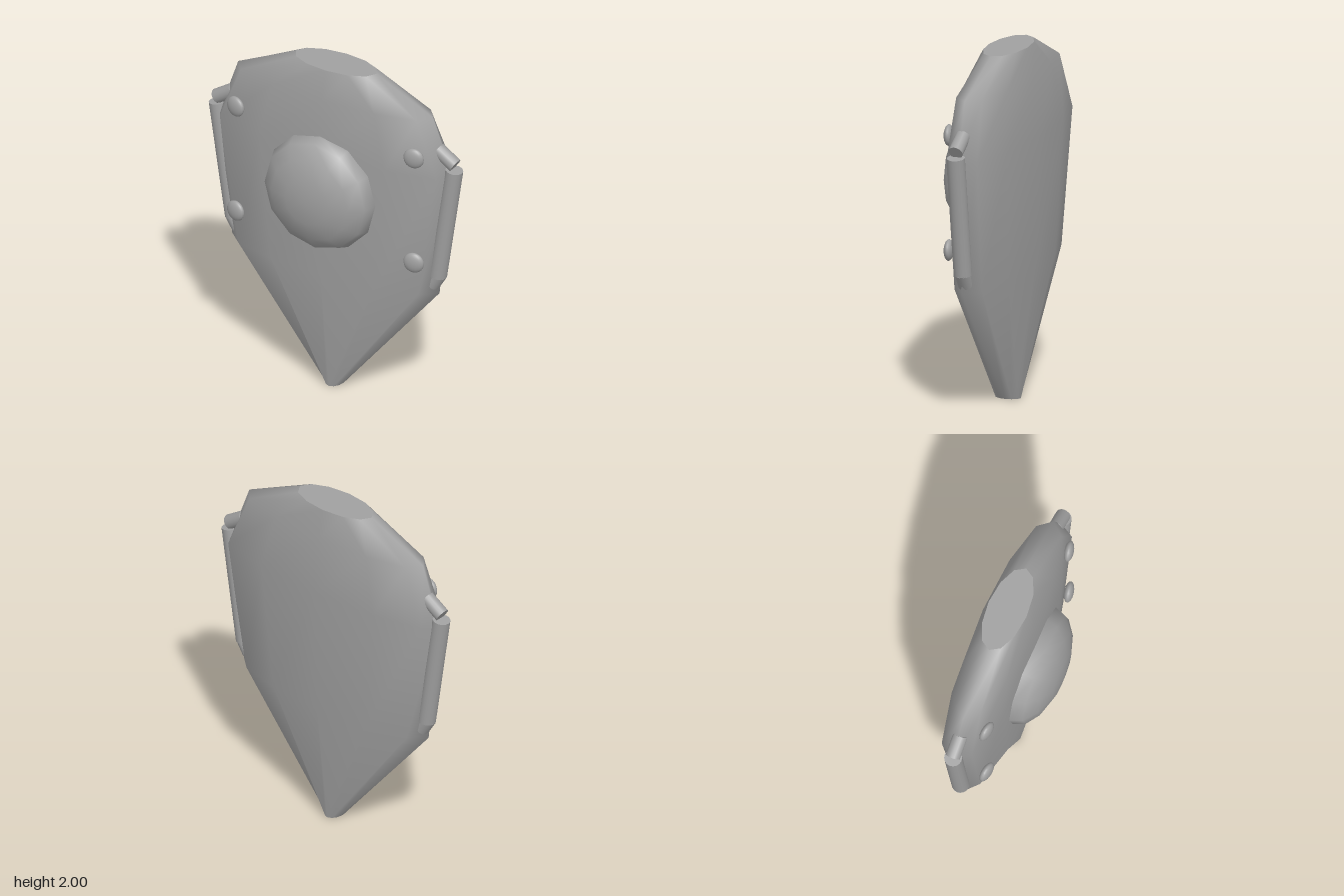
import * as THREE from 'three';

const SIDES = 12;
const MID_Z = -0.075;

// Rings: height, half width, front z, back z, widening of the side corners
const RINGS = [
  [0, 0.05, 0.0, -0.15, 1],
  [0.74, 0.67, 0.09, -0.237, 1],
  [1.5, 0.75, 0.1, -0.263, 1.075],
  [1.83, 0.63, 0.08, -0.225, 1.04],
  [2, 0.26, 0.037, -0.19, 1],
];

function ringPoint([y, w, front, back, widen], i) {
  const a = (i / SIDES) * Math.PI * 2;
  const s = Math.sin(a);
  const x = w * s * (Math.abs(s) > 0.99 ? 1 : widen);
  return [x, y, (front + back) / 2 + ((front - back) / 2) * Math.cos(a)];
}

function meshGeometry(positions, index) {
  const g = new THREE.BufferGeometry();
  g.setAttribute('position', new THREE.Float32BufferAttribute(positions, 3));
  g.setIndex(index);
  g.computeVertexNormals();
  return g;
}

// Smooth wall lofted through the rings
function wallGeometry() {
  const positions = [], index = [];
  RINGS.forEach((ring, r) => {
    for (let i = 0; i < SIDES; i++) {
      positions.push(...ringPoint(ring, i));
      if (r === RINGS.length - 1) continue;
      const a = r * SIDES + i, b = r * SIDES + ((i + 1) % SIDES);
      index.push(a, b, b + SIDES, a, b + SIDES, a + SIDES);
    }
  });
  return meshGeometry(positions, index);
}

// Flat end of the body
function capGeometry(ring, up) {
  const positions = [], index = [];
  for (let i = 0; i < SIDES; i++) positions.push(...ringPoint(ring, i));
  for (let i = 1; i < SIDES - 1; i++) index.push(0, up ? i : i + 1, up ? i + 1 : i);
  return meshGeometry(positions, index);
}

export function createModel() {
  const group = new THREE.Group();
  const grey = new THREE.MeshStandardMaterial({ color: 0xa0a0a0 });
  grey.name = 'plain grey';

  function add(name, geometry, parent = group) {
    const mesh = new THREE.Mesh(geometry, grey);
    mesh.name = name;
    parent.add(mesh);
    return mesh;
  }

  // Shield body
  const body = new THREE.Group();
  body.name = 'shieldBody';
  group.add(body);
  add('shieldWall', wallGeometry(), body);
  add('topCap', capGeometry(RINGS[RINGS.length - 1], true), body);
  add('bottomCap', capGeometry(RINGS[0], false), body);

  // Central boss: flattened dome with its pole facing forward
  const dome = new THREE.SphereGeometry(0.35, 12, 4, 0, Math.PI * 2, 0, Math.PI / 2);
  dome.rotateX(Math.PI / 2);
  dome.scale(1, 1, 0.178 / 0.35);
  add('boss', dome).position.set(0, 1.265, 0.083);

  // Round bar between two points
  function bar(name, from, to, radius, parent) {
    const a = new THREE.Vector3(...from, MID_Z), b = new THREE.Vector3(...to, MID_Z);
    const dir = b.clone().sub(a);
    const mesh = add(name, new THREE.CylinderGeometry(radius, radius, dir.length(), 16), parent);
    mesh.position.copy(a).add(b).multiplyScalar(0.5);
    mesh.quaternion.setFromUnitVectors(new THREE.Vector3(0, 1, 0), dir.normalize());
  }

  for (const s of [1, -1]) {
    const side = s > 0 ? 'left' : 'right';

    // Rivets
    for (const [y, level] of [[1.615, 'Upper'], [0.96, 'Lower']]) {
      const rivet = add(`${side}${level}Rivet`, new THREE.SphereGeometry(0.06, 16, 12));
      rivet.scale.z = 0.45;
      rivet.rotation.y = s * 0.2;
      rivet.position.set(s * 0.575, y, 0.045);
    }

    // Side handle: long grip with a short stub at each end
    const handle = new THREE.Group();
    handle.name = `${side}Handle`;
    group.add(handle);
    bar('grip', [s * 0.66, 0.85], [s * 0.765, 1.54], 0.05, handle);
    bar('upperStub', [s * 0.77, 1.57], [s * 0.66, 1.64], 0.042, handle);
    bar('lowerStub', [s * 0.675, 0.865], [s * 0.625, 0.785], 0.042, handle);
  }

  return group;
}
